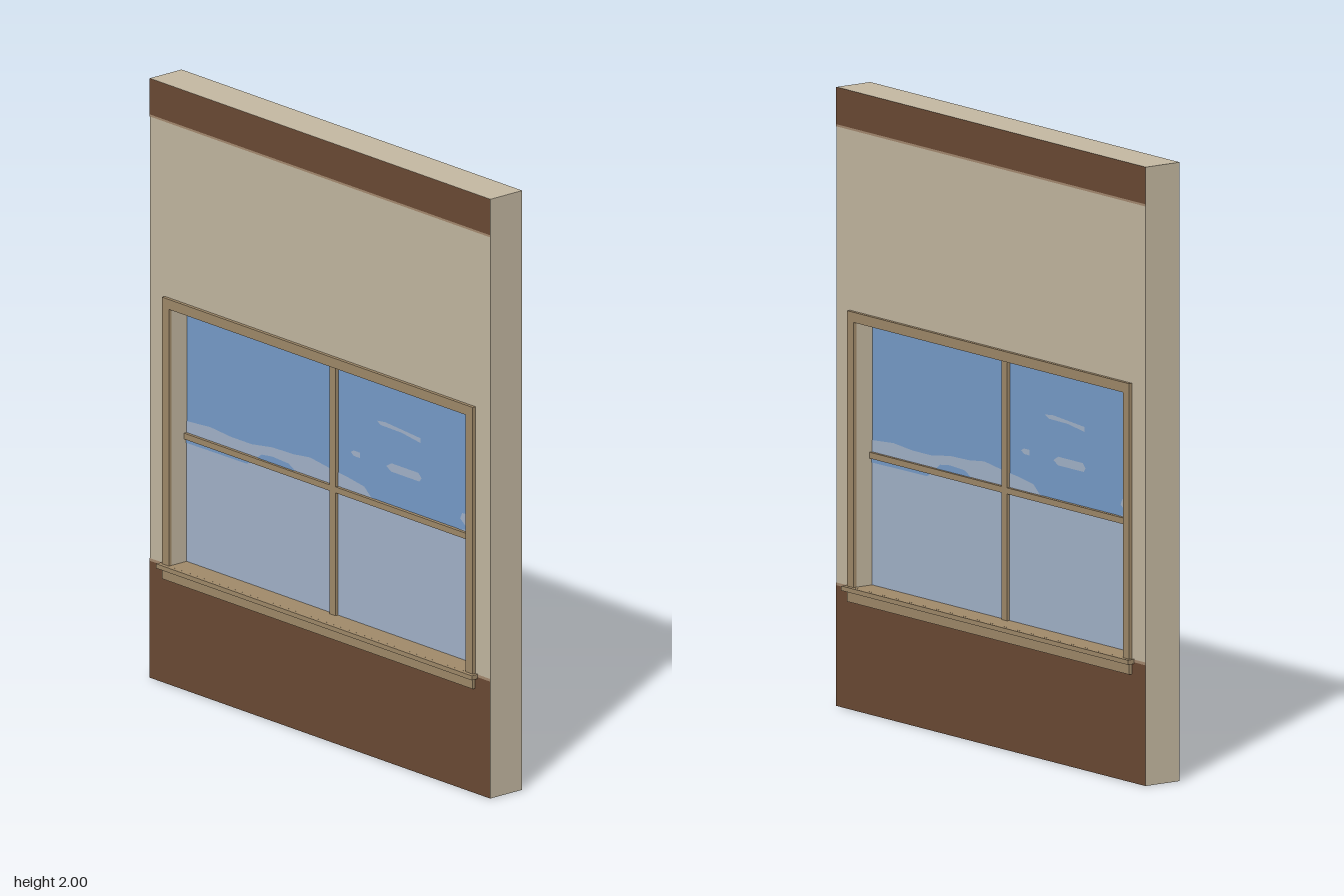
import * as THREE from 'three';

const mat = (name, color, side = THREE.FrontSide) => {
  const m = new THREE.MeshStandardMaterial({ color, side });
  m.name = name;
  return m;
};

export function createModel() {
  const plaster = mat('plaster', 0xc4b8a1);
  const brown = mat('brown paint', 0x6b4a34);
  const worn = mat('worn paint edge', 0xa58a70);
  const wood = mat('wood trim', 0xa08a6a);
  const sky = mat('sky blue glass', 0x779dcb);
  const haze = mat('cloud reflection', 0xa4b4cb);

  const model = new THREE.Group();
  model.name = 'windowWall';

  const W = 0.817, D = 0.067;              // wall half width, half depth
  const OX = 0.712, OY0 = 0.39, OY1 = 1.257; // window opening

  const add = (parent, name, geometry, material) => {
    const mesh = new THREE.Mesh(geometry, material);
    mesh.name = name;
    parent.add(mesh);
    return mesh;
  };
  const box = (parent, name, material, x0, x1, y0, y1, z0, z1) =>
    add(parent, name, new THREE.BoxGeometry(x1 - x0, y1 - y0, z1 - z0), material)
      .position.set((x0 + x1) / 2, (y0 + y1) / 2, (z0 + z1) / 2);
  const plate = (parent, name, material, x0, x1, y0, y1, z) =>
    add(parent, name, new THREE.PlaneGeometry(x1 - x0, y1 - y0), material)
      .position.set((x0 + x1) / 2, (y0 + y1) / 2, z);
  const outline = (x0, x1, y0, y1, Type = THREE.Shape) =>
    new Type([[x0, y0], [x1, y0], [x1, y1], [x0, y1]].map(p => new THREE.Vector2(...p)));

  // Wall slab with the window opening cut through
  const wallShape = outline(-W, W, 0, 2);
  wallShape.holes.push(outline(-OX, OX, OY0, OY1, THREE.Path));
  const wallGeo = new THREE.ExtrudeGeometry(wallShape, { depth: 2 * D, bevelEnabled: false });
  wallGeo.translate(0, 0, -D);
  add(model, 'wall', wallGeo, plaster);

  // Sill runs through the opening and projects on both sides
  box(model, 'sill', wood, -0.757, 0.757, 0.385, 0.4, -0.093, 0.093);

  // Glazing bars
  box(model, 'verticalBar', wood, -0.014, 0.014, 0.4, OY1, -0.015, 0.015);
  box(model, 'horizontalBar', wood, -OX, OX, 0.81, 0.83, -0.0145, 0.0145);

  // Reflected clouds, as smooth outlines or small flat streaks
  const hazeLine = [[-0.712, 0.868], [-0.6, 0.876], [-0.5, 0.868], [-0.4, 0.868], [-0.3, 0.882],
    [-0.2, 0.884], [-0.12, 0.893], [-0.02, 0.88], [0.06, 0.872], [0.14, 0.86], [0.17, 0.835],
    [0.2, 0.825], [0.56, 0.825], [0.64, 0.838], [0.6, 0.868], [0.61, 0.888], [0.65, 0.89], [0.712, 0.855]];
  const clouds = [
    [[0.2, 1.095], [0.24, 1.1], [0.41, 1.088], [0.41, 1.072], [0.32, 1.084], [0.22, 1.085]],
    [[0.075, 0.96], [0.09, 0.968], [0.12, 0.968], [0.12, 0.95], [0.09, 0.95]],
    [[0.245, 0.955], [0.27, 0.97], [0.4, 0.97], [0.415, 0.955], [0.405, 0.942], [0.27, 0.942]],
  ];
  const gaps = [
    [[-0.37, 0.832], [-0.35, 0.846], [-0.3, 0.852], [-0.22, 0.848], [-0.19, 0.832], [-0.2, 0.82], [-0.36, 0.82]],
    [[-0.712, 0.815], [-0.39, 0.815], [-0.42, 0.798], [-0.712, 0.796]],
  ];
  const flat = (parent, name, material, pts, z) =>
    add(parent, name, new THREE.ShapeGeometry(
      new THREE.Shape(pts.map(p => new THREE.Vector2(...p)))), material).position.z = z;

  // Each face of the wall carries the same paint, casing and glass
  for (const [name, angle] of [['frontFace', 0], ['backFace', Math.PI]]) {
    const face = new THREE.Group();
    face.name = name;
    face.rotation.y = angle;
    model.add(face);

    plate(face, 'lowerBand', brown, -W, W, 0, 0.39, D + 0.001);
    plate(face, 'upperBand', brown, -W, W, 1.88, 2, D + 0.001);
    plate(face, 'lowerBandEdge', worn, -W, W, 0.39, 0.399, D + 0.001);
    plate(face, 'upperBandEdge', worn, -W, W, 1.873, 1.88, D + 0.001);

    // Casing around the opening and apron under the sill
    const casing = outline(-0.745, 0.745, 0.4, 1.29);
    casing.holes.push(outline(-OX, OX, 0.4001, OY1, THREE.Path));
    const casingGeo = new THREE.ExtrudeGeometry(casing, { depth: 0.012, bevelEnabled: false });
    casingGeo.translate(0, 0, D);
    add(face, 'casing', casingGeo, wood);
    box(face, 'apron', wood, -0.745, 0.745, 0.35, 0.386, D - 0.005, D + 0.012);

    // Glass with its cloudy reflection
    plate(face, 'glass', sky, -OX, OX, 0.4, OY1, 0.002);
    flat(face, 'hazeReflection', haze, [[0.712, 0.4], [-0.712, 0.4], ...hazeLine], 0.004);
    clouds.forEach(c => flat(face, 'cloud', haze, c, 0.004));
    gaps.forEach(g => flat(face, 'skyGap', sky, g, 0.006));
  }
  return model;
}
